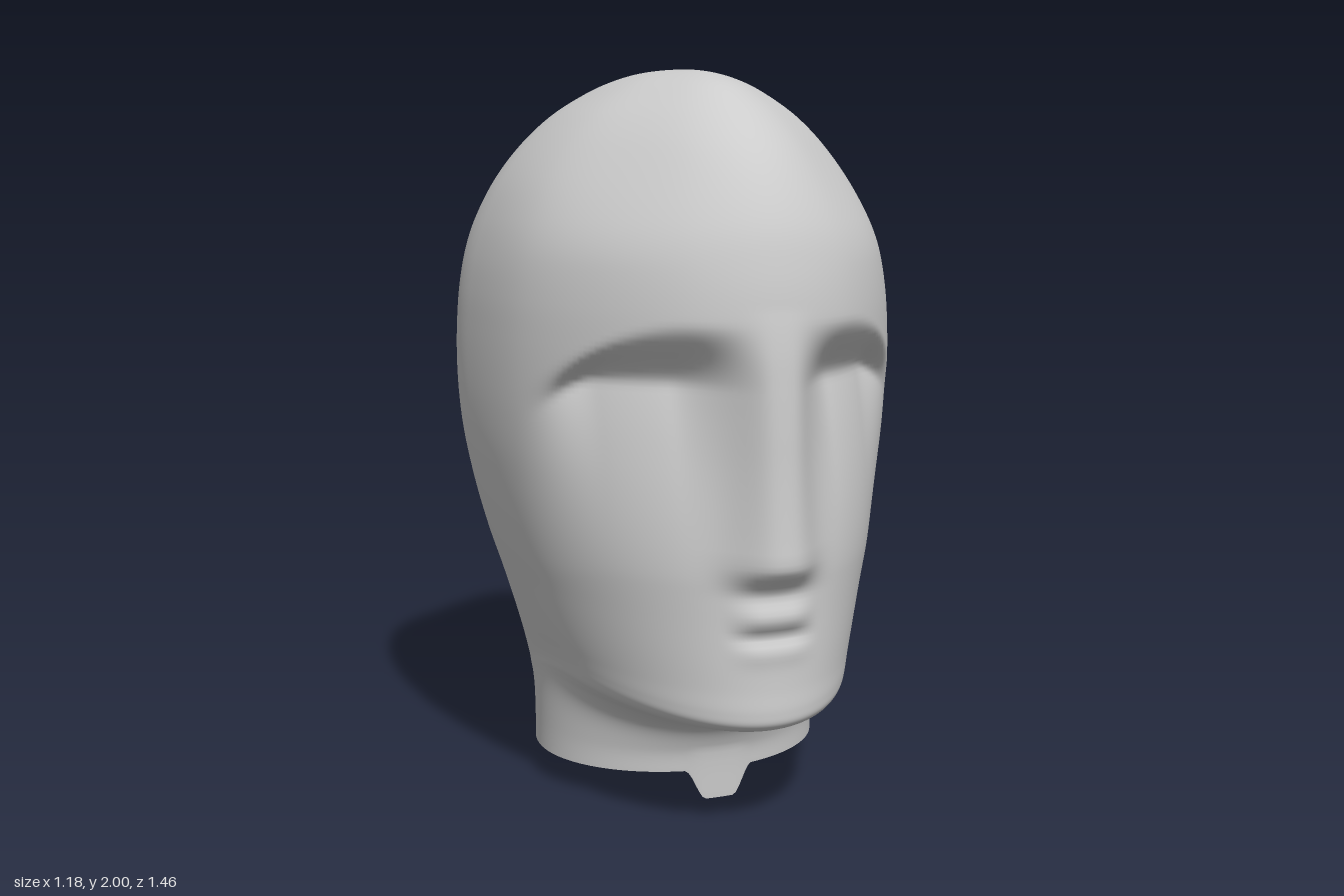
import * as THREE from 'three';

const { smoothstep, lerp, clamp } = THREE.MathUtils;
const bell = (v, centre, width) => Math.exp(-(((v - centre) / width) ** 2));

// Head profile from crown to neck: height, half width, front z, back z
const PROFILE = [
  [2.0, 0, 0, 0], [1.992, 0.088, 0.14, -0.18], [1.968, 0.17, 0.25, -0.29],
  [1.93, 0.248, 0.335, -0.385], [1.87, 0.338, 0.425, -0.48], [1.79, 0.42, 0.512, -0.56],
  [1.7, 0.485, 0.58, -0.62], [1.6, 0.532, 0.633, -0.665], [1.5, 0.562, 0.662, -0.695],
  [1.4, 0.579, 0.678, -0.715], [1.3, 0.587, 0.682, -0.725], [1.2, 0.59, 0.678, -0.722],
  [1.1, 0.588, 0.672, -0.705], [1.0, 0.58, 0.665, -0.68], [0.9, 0.565, 0.66, -0.65],
  [0.8, 0.545, 0.657, -0.618], [0.7, 0.52, 0.657, -0.585], [0.6, 0.49, 0.66, -0.55],
  [0.5, 0.462, 0.665, -0.52], [0.42, 0.442, 0.668, -0.497], [0.36, 0.429, 0.672, -0.483],
  [0.325, 0.422, 0.665, -0.475], [0.302, 0.419, 0.625, -0.47], [0.285, 0.416, 0.54, -0.467],
  [0.262, 0.413, 0.43, -0.464], [0.22, 0.41, 0.345, -0.46], [0.15, 0.409, 0.303, -0.455],
  [0.085, 0.41, 0.293, -0.452],
];

// Half of the normalised horizontal section at the temples, front to back
const HALF = [[0, 1], [0.35, 0.925], [0.68, 0.7], [0.91, 0.39], [1, 0],
  [0.98, -0.3], [0.85, -0.57], [0.57, -0.77], [0.25, -0.93], [0, -1]];

function sectionPoints(count) {
  const mirrored = HALF.slice(1, -1).reverse().map(([x, z]) => [-x, z]);
  const pts = [...HALF, ...mirrored].map(([x, z]) => new THREE.Vector3(x, 0, z));
  return new THREE.CatmullRomCurve3(pts, true).getSpacedPoints(count).slice(0, count);
}

// Smooth interpolation of the profile; mirrored past the crown to round it off
function profileAt(t) {
  const last = PROFILE.length - 1;
  const i = Math.min(Math.floor(t), last - 1), f = t - i;
  const key = (n) => (n < 0
    ? PROFILE[1].map((v, k) => (k ? -v : v))
    : PROFILE[Math.min(n, last)]);
  const [a, b, c, d] = [key(i - 1), key(i), key(i + 1), key(i + 2)];
  return b.map((_, k) => 0.5 * (2 * b[k] + (c[k] - a[k]) * f
    + (2 * a[k] - 5 * b[k] + 4 * c[k] - d[k]) * f * f
    + (3 * b[k] - a[k] - 3 * c[k] + d[k]) * f * f * f));
}

// Forward displacement of the face: nose, eye sockets and lips
function faceRelief(x, y) {
  const ax = Math.abs(x);

  const down = clamp((1.4 - y) / 0.62, 0, 1);
  const noseWidth = lerp(0.075, 0.108, down ** 2);
  const nose = 0.075 * down * smoothstep(y, 0.665, 0.755)
    * Math.exp(-((ax / noseWidth) ** 2.6));

  // Socket sinks from the brow to its deepest line, then the cheek swells out again
  const brow = 1.37 - 2 * Math.max(ax - 0.22, 0) ** 2;
  const deepest = 1.2 - 4 * Math.max(ax - 0.36, 0) ** 2;
  const across = smoothstep(ax, 0.03, 0.22) * (1 - smoothstep(ax, 0.37, 0.54));
  const sink = 1 - smoothstep(y, deepest, brow);
  const swell = (1 - clamp((deepest - y) / 0.5, 0, 1)) ** 1.6;
  const socket = 0.13 * across * sink * swell;

  const mouth = 1 - smoothstep(ax, 0.04, 0.14);
  const lips = mouth * (0.02 * bell(y, 0.615, 0.035) + 0.006 * bell(y, 0.52, 0.03)
    - 0.014 * bell(y, 0.56, 0.018));

  return nose - socket + lips;
}

function headGeometry(rows = 190, cols = 256) {
  const section = sectionPoints(cols);
  const positions = [], index = [];
  for (let i = 0; i <= rows; i++) {
    const [y0, w, front, back] = profileAt((i / rows) * (PROFILE.length - 1));
    const zc = 0.14 * back;
    // Sections turn into plain ellipses at the neck and pinch diagonally near the crown
    const round = 1 - smoothstep(y0, 0.2, 1.1);
    const pinch = 0.06 * smoothstep(y0, 1.5, 1.8);
    for (const p of section) {
      const r = Math.hypot(p.x, p.z);
      const diagonal = (2 * p.x * p.z / (r * r)) ** 2;
      const scale = lerp(1, 1 / r, round) * (1 - pinch * diagonal);
      const sx = p.x * scale, sz = p.z * scale;
      const x = sx * w;
      let z = zc + sz * (sz > 0 ? front - zc : zc - back);
      // Jaw line climbs towards the cheeks and fades out below the ears
      let y = y0 + 0.07 * sx * sx * smoothstep(sz, -0.4, 0.35)
        * bell(y0, 0.3, 0.13) * smoothstep(y0, 0.085, 0.2);
      if (sz > 0) {
        z += faceRelief(x, y0) * smoothstep(sz, 0, 0.3);
        // Small tab hanging from the front of the neck
        y -= 0.085 * (1 - smoothstep(Math.abs(x), 0.04, 0.1)) * (1 - smoothstep(y0, 0.085, 0.15));
      }
      positions.push(x, y, z);
    }
  }
  for (let i = 0; i < rows; i++) {
    for (let j = 0; j < cols; j++) {
      const k = (j + 1) % cols;
      const a = i * cols + j, b = i * cols + k;
      const c = a + cols, d = b + cols;
      if (i > 0) index.push(a, d, b);
      index.push(a, c, d);
    }
  }
  const geometry = new THREE.BufferGeometry();
  geometry.setAttribute('position', new THREE.Float32BufferAttribute(positions, 3));
  geometry.setIndex(index);
  geometry.computeVertexNormals();
  return geometry;
}

export function createModel() {
  const group = new THREE.Group();
  group.name = 'mannequinHead';
  // Hollow shell, open at the neck
  const material = new THREE.MeshStandardMaterial({ color: 0xcccccc, side: THREE.DoubleSide });
  const head = new THREE.Mesh(headGeometry(), material);
  head.name = 'head';
  group.add(head);
  return group;
}
